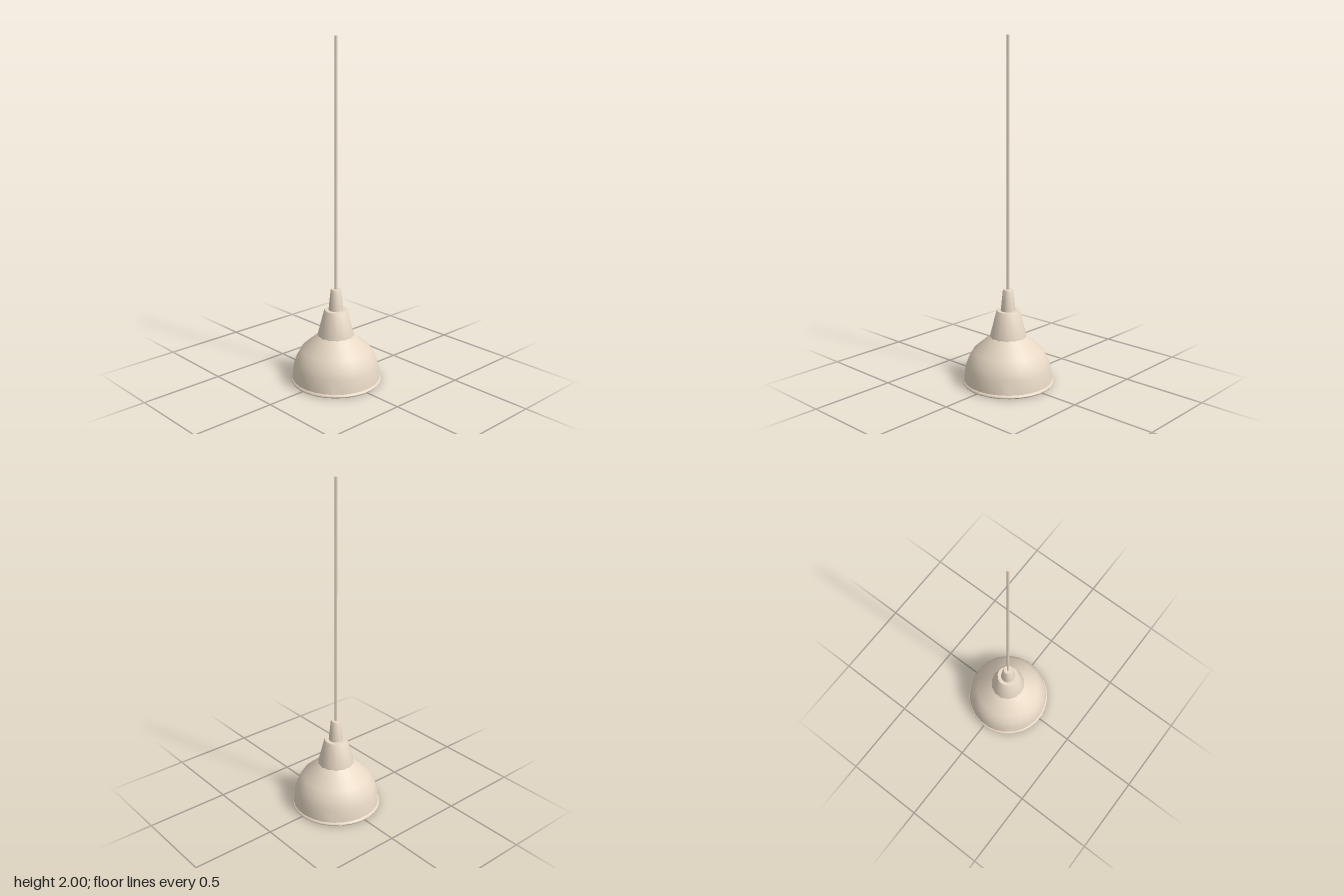
import * as THREE from 'three';
import { toCreasedNormals } from 'three/addons/utils/BufferGeometryUtils.js';

export function createModel() {
  const lamp = new THREE.Group();
  lamp.name = 'pendantLamp';
  const material = new THREE.MeshStandardMaterial({ color: 0xe8d9c5, side: THREE.DoubleSide });

  // Turned part from [radius, height] pairs, listed upwards along the outside
  function turned(name, profile, sides, start = Math.PI / sides, crease = 0.7) {
    const points = profile.map(([r, y]) => new THREE.Vector2(r, y));
    const geometry = new THREE.LatheGeometry(points, sides, start);
    const mesh = new THREE.Mesh(toCreasedNormals(geometry, crease), material);
    mesh.name = name;
    lamp.add(mesh);
  }

  // Dome with a thin wall and a flared rim: up the inside is listed first, reversed
  turned('shade', [
    [0.1, 0.272], [0.192, 0.19], [0.24, 0.1], [0.25, 0.022], [0.258, 0.002],
    [0.264, 0], [0.268, 0.006], [0.266, 0.013], [0.259, 0.018],
    [0.25, 0.1], [0.234, 0.142], [0.203, 0.197], [0.105, 0.282],
  ], 28);

  // Tapered neck above the dome
  turned('neck', [
    [0.108, 0.278], [0.106, 0.29], [0.07, 0.43], [0.066, 0.436], [0, 0.436],
  ], 14);

  // Strain-relief cap and the cord it holds
  turned('cordGrip', [
    [0.044, 0.434], [0.042, 0.45], [0.031, 0.555], [0.027, 0.562], [0, 0.562],
  ], 14);
  turned('cord', [[0.008, 0.55], [0.008, 2], [0, 2]], 7, 0);

  // Round bulb running up into its socket
  const bulb = [];
  for (let i = 0; i <= 9; i++) {
    const a = (i / 9) * 2.5;
    bulb.push([0.077 * Math.sin(a), 0.102 - 0.077 * Math.cos(a)]);
  }
  turned('bulb', [...bulb, [0.042, 0.2], [0.042, 0.26]], 16);
  turned('socket', [[0.04, 0.22], [0.052, 0.22], [0.052, 0.43]], 14);

  return lamp;
}
